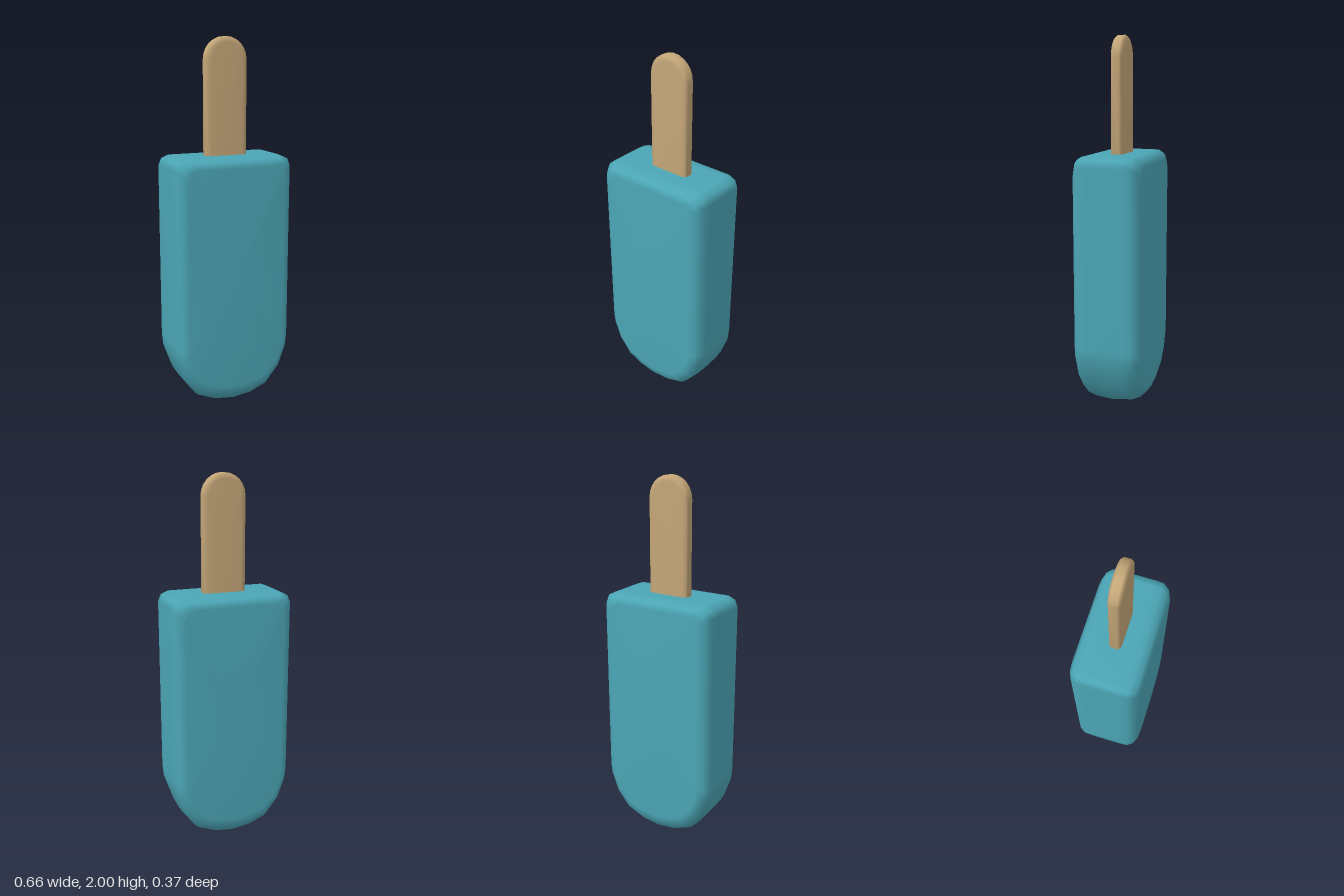
import * as THREE from 'three';

// Joins mirrored outlines, one per z layer, into a closed smooth solid
function layeredSolid(layers, halfOutline) {
  const positions = [], index = [];
  let n = 0;
  for (const layer of layers) {
    const right = halfOutline(layer); // bottom centre up to top centre
    const left = right.slice(1, -1).reverse().map(([x, y]) => [-x, y]);
    const ring = [...right, ...left];
    n = ring.length;
    for (const [x, y] of ring) positions.push(x, y, layer.z);
  }
  const last = layers.length - 1;
  for (let k = 0; k < last; k++) {
    for (let i = 0; i < n; i++) {
      const j = (i + 1) % n;
      const a = k * n + i, b = k * n + j, c = b + n, d = a + n;
      index.push(a, b, c, a, c, d);
    }
  }
  // back and front caps
  for (const [k, front] of [[0, false], [last, true]]) {
    const centre = positions.length / 3;
    positions.push(0, (layers[k].top + layers[k].bottom) / 2, layers[k].z);
    for (let i = 0; i < n; i++) {
      const a = k * n + i, b = k * n + (i + 1) % n;
      index.push(centre, front ? a : b, front ? b : a);
    }
  }
  const geometry = new THREE.BufferGeometry();
  geometry.setAttribute('position', new THREE.Float32BufferAttribute(positions, 3));
  geometry.setIndex(index);
  geometry.computeVertexNormals();
  return geometry;
}

// Mirrors half a stack of layers to the back
const bothSides = (half) => [
  ...half.map((l) => ({ ...l, z: -l.z })).reverse(),
  ...half.filter((l) => l.z > 0),
];

// Rounded bottom, straight sides, small rounded top corners
function barOutline({ w, top, bottom }) {
  const h = 0.34 - bottom;
  const arc = [[0, 0], [0.31, 0.04], [0.61, 0.17], [0.85, 0.49], [0.98, 0.88], [1, 1.1]];
  return [
    ...arc.map(([u, v]) => [u * w, bottom + v * h]),
    [w, top - 0.055], [w - 0.016, top - 0.017], [w - 0.055, top], [0, top],
  ];
}

// Flat foot, straight sides, semicircular top
function stickOutline({ w, top, bottom }) {
  const points = [[0, bottom], [w, bottom]];
  for (let i = 0; i <= 6; i++) {
    const a = (i / 6) * Math.PI / 2;
    points.push([i === 6 ? 0 : w * Math.cos(a), top - w + w * Math.sin(a)]);
  }
  return points;
}

export function createModel() {
  const group = new THREE.Group();
  const iceBlue = new THREE.MeshStandardMaterial({ color: 0x4ba5b5 });
  const wood = new THREE.MeshStandardMaterial({ color: 0xc4a678 });
  iceBlue.name = 'iceBlue';
  wood.name = 'wood';

  // frozen bar
  const bar = new THREE.Mesh(layeredSolid(bothSides([
    { z: 0, w: 0.328, top: 1.385, bottom: 0.003 },
    { z: 0.09, w: 0.328, top: 1.385, bottom: 0.014 },
    { z: 0.135, w: 0.326, top: 1.383, bottom: 0.035 },
    { z: 0.167, w: 0.306, top: 1.367, bottom: 0.07 },
    { z: 0.185, w: 0.271, top: 1.335, bottom: 0.125 },
  ]), barOutline), iceBlue);
  bar.name = 'iceBar';

  // wooden stick, set into the top of the bar
  const stick = new THREE.Mesh(layeredSolid(bothSides([
    { z: 0.017, w: 0.117, top: 2, bottom: 1.3 },
    { z: 0.028, w: 0.108, top: 1.991, bottom: 1.3 },
    { z: 0.033, w: 0.088, top: 1.971, bottom: 1.3 },
  ]), stickOutline), wood);
  stick.name = 'stick';
  stick.position.x = 0.004;

  group.add(bar, stick);
  return group;
}
